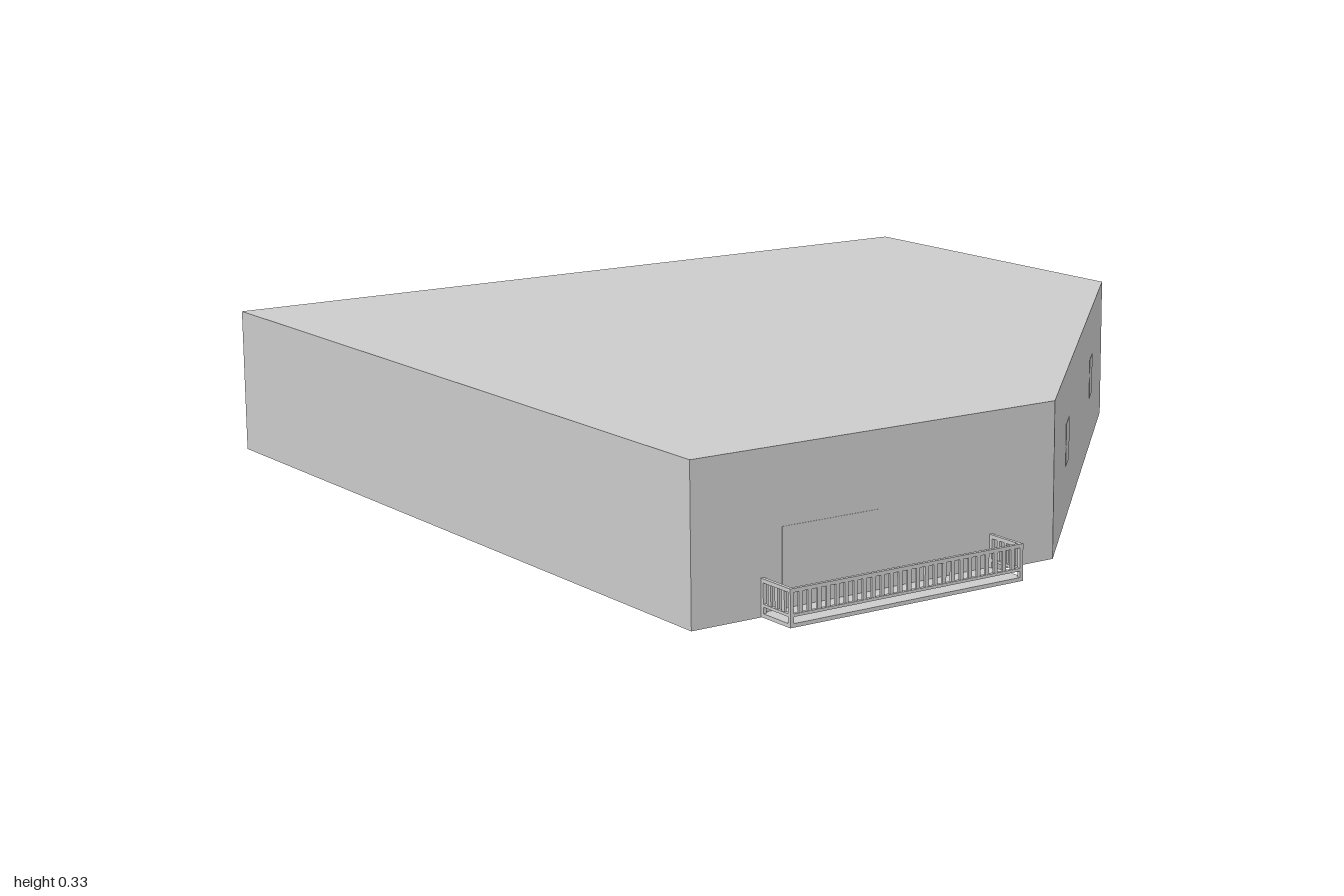
import * as THREE from 'three';

const mat = new THREE.MeshStandardMaterial({ color: 0xcccccc, side: THREE.DoubleSide });
const H = 0.332;

function add(parent, name, geo, x = 0, y = 0, z = 0) {
  const m = new THREE.Mesh(geo, mat);
  m.name = name;
  m.position.set(x, y, z);
  parent.add(m);
  return m;
}
const box = (parent, name, w, h, d, x, y, z) =>
  add(parent, name, new THREE.BoxGeometry(w, h, d), x, y, z);

// Balcony with its door; local origin on the wall, outward is +z
function balcony() {
  const g = new THREE.Group();
  g.name = 'balcony';
  const W = 0.57, D = 0.097, T = 0.008;
  const x1 = W / 2 - T / 2, z1 = D - T / 2;
  box(g, 'balconySlab', W, 0.008, D, 0, 0.005, D / 2);
  box(g, 'door', 0.235, 0.17, 0.002, -0.1175, 0.087, 0);
  // top and bottom rails on three sides
  for (const [y, h] of [[0.074, 0.008], [0.025, 0.006]]) {
    box(g, 'frontRail', W, h, T, 0, y, z1);
    for (const s of [-1, 1]) box(g, 'sideRail', T, h, D - T, s * x1, y, (D - T) / 2);
  }
  // corner and wall posts
  for (const s of [-1, 1])
    for (const z of [T / 2, z1]) box(g, 'railPost', T, 0.07, T, s * x1, 0.043, z);
  // balusters
  const n = 26;
  for (let i = 1; i < n; i++)
    box(g, 'baluster', 0.009, 0.044, 0.005, -x1 + (2 * x1 * i) / n, 0.05, z1);
  for (const s of [-1, 1])
    for (let i = 1; i < 4; i++)
      box(g, 'sideBaluster', 0.005, 0.044, 0.009, s * x1, 0.05, T / 2 + ((D - T) * i) / 4);
  return g;
}

export function createModel() {
  const model = new THREE.Group();
  model.name = 'building';

  // five-sided plan as [x, z]
  const plan = [[-1, -1], [-1, 0.9], [-0.11, 0.9], [0.9, -0.11], [0.9, -1]];

  // walls, open underneath
  plan.forEach(([ax, az], i) => {
    const [bx, bz] = plan[(i + 1) % plan.length];
    const wall = add(model, 'wall', new THREE.PlaneGeometry(Math.hypot(bx - ax, bz - az), H),
      (ax + bx) / 2, H / 2, (az + bz) / 2);
    wall.rotation.y = Math.atan2(-(bz - az), bx - ax);
  });

  // flat roof
  const shape = new THREE.Shape(plan.map(([x, z]) => new THREE.Vector2(x, -z)));
  add(model, 'roof', new THREE.ShapeGeometry(shape).rotateX(-Math.PI / 2), 0, H, 0);

  // balconies on the front and the side wall
  const front = balcony();
  front.position.set(-0.555, 0, 0.9);
  const side = balcony();
  side.position.set(0.9, 0, -0.555);
  side.rotation.y = Math.PI / 2;
  model.add(front, side);

  // flush windows in the slanted wall
  for (const x of [0.14, 0.64]) {
    const w = box(model, 'window', 0.085, 0.093, 0.002, x, 0.168, 0.79 - x);
    w.rotation.y = Math.PI / 4;
  }
  return model;
}
